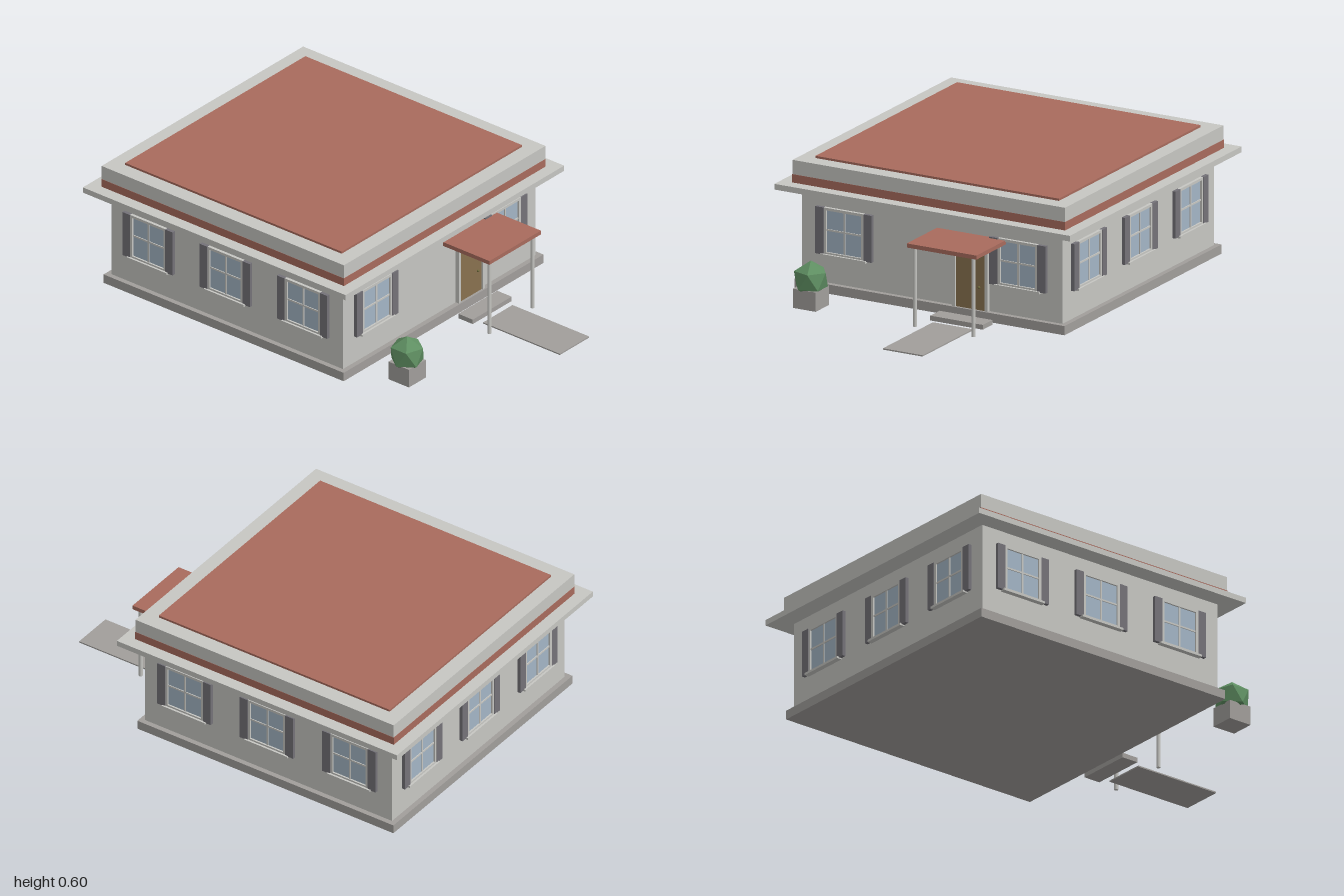
import * as THREE from 'three';

const mat = (name, color) => {
  const m = new THREE.MeshStandardMaterial({ color });
  m.name = name;
  return m;
};

export function createModel() {
  const M = {
    wall: mat('pale plaster', 0xc6c6c2),
    stone: mat('grey stone', 0xa19e9b),
    red: mat('terracotta red', 0xa86b5d),
    glass: mat('window glass', 0xa3b5c5),
    shutter: mat('shutter grey', 0x747278),
    door: mat('door brown', 0x88714f),
    knob: mat('knob brass', 0x6f6a3c),
    bush: mat('leaf green', 0x5f8f62),
  };
  const model = new THREE.Group();
  model.name = 'house';

  // Box given by its size and the centre of its underside
  const box = (parent, name, m, w, h, d, x, y, z) => {
    const mesh = new THREE.Mesh(new THREE.BoxGeometry(w, h, d), m);
    mesh.name = name;
    mesh.position.set(x, y + h / 2, z);
    parent.add(mesh);
    return mesh;
  };

  // Building body: stacked square slabs
  const CZ = -0.255, WALL = 0.656;
  const body = new THREE.Group();
  body.name = 'building';
  body.position.z = CZ;
  model.add(body);
  const slab = (name, m, half, y0, y1) =>
    box(body, name, m, half * 2, y1 - y0, half * 2, 0, y0, 0);
  slab('foundation', M.stone, 0.68, 0, 0.042);
  slab('walls', M.wall, WALL, 0.042, 0.456);
  slab('cornice', M.wall, 0.744, 0.456, 0.482);
  slab('redBand', M.red, 0.687, 0.482, 0.52);
  slab('parapet', M.wall, 0.686, 0.52, 0.585);
  slab('roofPanel', M.red, 0.613, 0.585, 0.595);

  // Window with frame, glazing bars, sill and shutters, facing +z
  const makeWindow = () => {
    const g = new THREE.Group();
    g.name = 'window';
    const y0 = 0.172, y1 = 0.387, h = y1 - y0, w = 0.2, bar = 0.012;
    box(g, 'glass', M.glass, w - bar, h - bar, 0.006, 0, y0 + bar / 2, 0.003);
    box(g, 'frameTop', M.wall, w, bar, 0.014, 0, y1 - bar, 0.007);
    box(g, 'frameBottom', M.wall, w, bar, 0.014, 0, y0, 0.007);
    box(g, 'barVertical', M.wall, 0.008, h - 2 * bar, 0.01, 0, y0 + bar, 0.005);
    box(g, 'barHorizontal', M.wall, w - 2 * bar, 0.008, 0.01, 0, 0.281, 0.005);
    box(g, 'sill', M.wall, 0.228, 0.01, 0.024, 0, 0.166, 0.012);
    for (const s of [-1, 1]) {
      box(g, 'frameSide', M.wall, bar, h - 2 * bar, 0.014, s * (w - bar) / 2, y0 + bar, 0.007);
      box(g, 'shutter', M.shutter, 0.042, h, 0.016, s * 0.121, y0, 0.008);
    }
    return g;
  };

  // Two windows on the front, three on each other side
  for (let side = 0; side < 4; side++) {
    const face = new THREE.Group();
    face.name = ['frontWindows', 'leftWindows', 'backWindows', 'rightWindows'][side];
    face.rotation.y = side * Math.PI / 2;
    body.add(face);
    for (const x of side === 0 ? [-0.438, 0.438] : [-0.438, 0, 0.438]) {
      const win = makeWindow();
      win.position.set(x, 0, WALL);
      face.add(win);
    }
  }

  // Entrance: door, surround, canopy on posts, step and path
  const entry = new THREE.Group();
  entry.name = 'entrance';
  entry.position.x = 0.2;
  model.add(entry);
  const front = CZ + WALL;
  box(entry, 'door', M.door, 0.15, 0.268, 0.012, 0, 0.042, front + 0.006);
  box(entry, 'doorLintel', M.wall, 0.178, 0.014, 0.018, 0, 0.308, front + 0.009);
  for (const s of [-1, 1]) {
    box(entry, 'doorJamb', M.wall, 0.015, 0.266, 0.018, s * 0.0815, 0.042, front + 0.009);
    const post = new THREE.Mesh(new THREE.CylinderGeometry(0.009, 0.009, 0.364, 12), M.wall);
    post.name = 'canopyPost';
    post.position.set(s * 0.147, 0.182, 0.64);
    entry.add(post);
  }
  const knob = new THREE.Mesh(new THREE.SphereGeometry(0.006, 10, 8), M.knob);
  knob.name = 'doorKnob';
  knob.position.set(0.045, 0.147, front + 0.016);
  entry.add(knob);
  box(entry, 'canopy', M.red, 0.35, 0.019, 0.262, 0, 0.362, 0.533);
  box(entry, 'step', M.stone, 0.265, 0.022, 0.082, 0, 0, 0.493);
  box(entry, 'path', M.stone, 0.2, 0.006, 0.434, 0, 0, 0.783);

  // Planter with a faceted bush standing on one of its points
  const planter = new THREE.Group();
  planter.name = 'planter';
  planter.position.set(-0.483, 0, 0.621);
  model.add(planter);
  box(planter, 'planterBox', M.stone, 0.115, 0.088, 0.115, 0, 0, 0);
  const leaf = new THREE.IcosahedronGeometry(0.083, 0);
  leaf.rotateX(-Math.atan((1 + Math.sqrt(5)) / 2)).rotateY(Math.PI / 2);
  leaf.computeVertexNormals();
  const bush = new THREE.Mesh(leaf, M.bush);
  bush.name = 'bush';
  bush.position.y = 0.127;
  M.bush.flatShading = true;
  planter.add(bush);

  return model;
}
